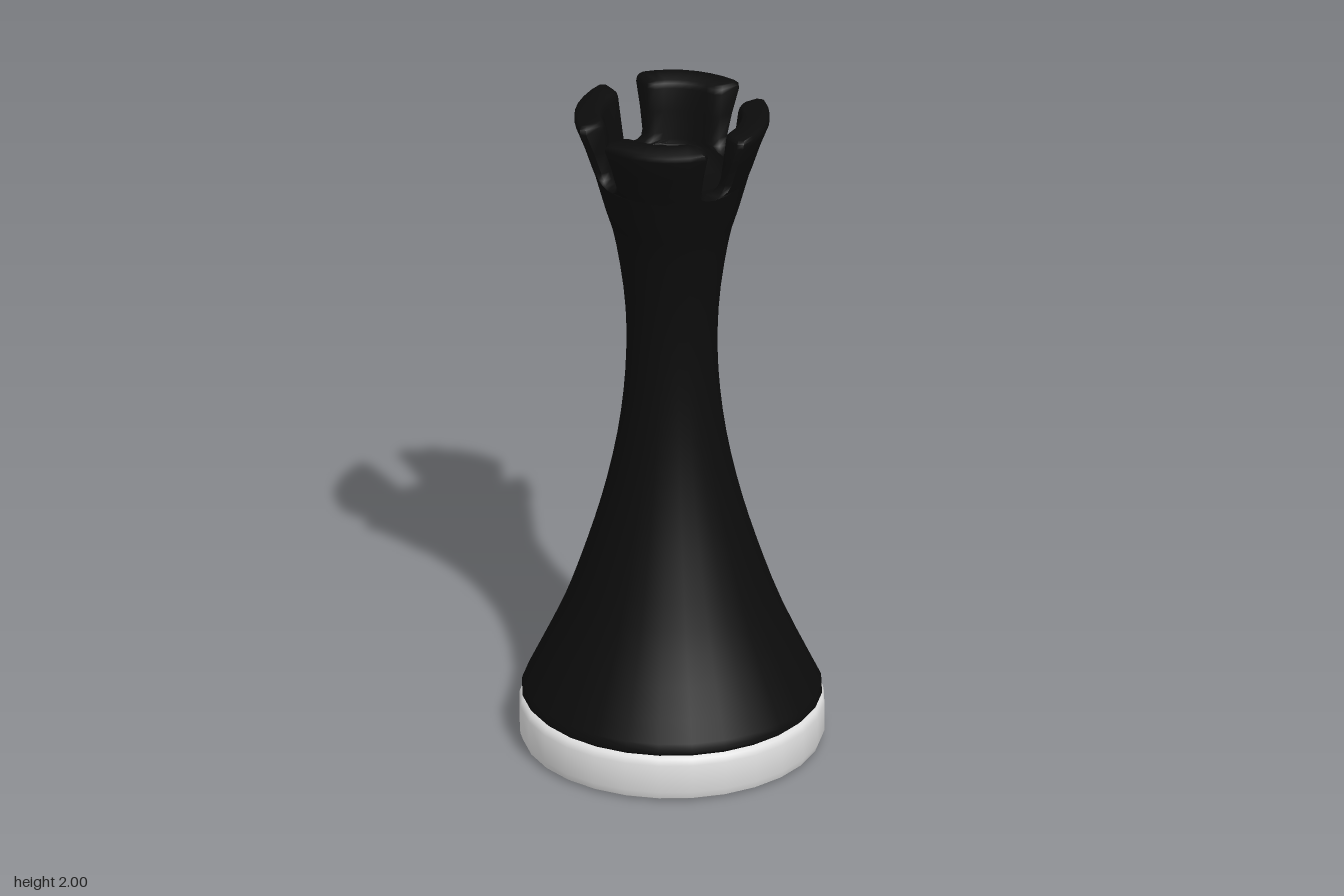
import * as THREE from 'three';
import { toCreasedNormals } from 'three/addons/utils/BufferGeometryUtils.js';

const SIDES = 28;
const ARC = SIDES / 4;
const v2 = ([x, y]) => new THREE.Vector2(x, y);

function lathe(points, material, name) {
  const geo = toCreasedNormals(new THREE.LatheGeometry(points, SIDES), 0.7);
  const mesh = new THREE.Mesh(geo, material);
  mesh.name = name;
  return mesh;
}

// One quarter of the crown wall, lofted from rows of
// [height, outer radius, inner radius, half width of the slot]
function merlonGeometry(rows) {
  const pos = [], index = [];
  const L = 2 * ARC + 6;
  for (const [y, ro, ri, w] of rows) {
    const c = Math.min(0.014, w * 0.35); // rounding of the upright corners
    const put = (r, a) => pos.push(r * Math.sin(a), y, r * Math.cos(a));
    const edge = (r, d) => Math.asin(d / r);
    const arc = (r, from, to) => {
      for (let i = 0; i <= ARC; i++) put(r, from + (to - from) * i / ARC);
    };
    const q = Math.PI / 2, ao = edge(ro, w + c), ai = edge(ri, w + c);
    arc(ro, ao, q - ao);
    put(ro - c, q - edge(ro - c, w));
    put(ri + c, q - edge(ri + c, w));
    arc(ri, q - ai, ai);
    put(ri + c, edge(ri + c, w));
    put(ro - c, edge(ro - c, w));
  }
  const quad = (a, b, c, d) => index.push(a, b, c, a, c, d);
  for (let r = 0; r < rows.length - 1; r++) {
    for (let i = 0; i < L; i++) {
      const a = r * L + i, b = r * L + (i + 1) % L;
      quad(a, b, b + L, a + L);
    }
  }
  // Top cap, joining the outer edge to the inner edge
  const top = (rows.length - 1) * L;
  const at = (k) => top + (k + L) % L;
  const pair = (k) => at(2 * ARC + 3 - k);
  for (let k = -1; k <= ARC; k++) quad(at(k), at(k + 1), pair(k + 1), pair(k));

  const geo = new THREE.BufferGeometry();
  geo.setAttribute('position', new THREE.Float32BufferAttribute(pos, 3));
  geo.setIndex(index);
  return toCreasedNormals(geo, 0.9);
}

export function createModel() {
  const black = new THREE.MeshStandardMaterial({ color: 0x0c0c0c });
  black.name = 'black';
  const white = new THREE.MeshStandardMaterial({ color: 0xe0e0e0 });
  white.name = 'white';
  const model = new THREE.Group();
  model.name = 'rook';

  // Rounded disc under the body
  const base = [[0, 0], [0.418, 0], [0.432, 0.008], [0.44, 0.03],
    [0.44, 0.115], [0.434, 0.133], [0.42, 0.142], [0, 0.142]];
  model.add(lathe(base.map(v2), white, 'base'));

  // Waisted body, with a sunken floor inside the crown
  const flank = new THREE.SplineCurve([[0.425, 0.178], [0.322, 0.4], [0.25, 0.6],
    [0.192, 0.8], [0.152, 1], [0.133, 1.2], [0.136, 1.4], [0.164, 1.6],
    [0.192, 1.7], [0.222, 1.81]].map(v2)).getPoints(26);
  const body = [
    ...[[0, 0.141], [0.424, 0.141], [0.433, 0.15], [0.432, 0.163]].map(v2),
    ...flank,
    ...[[0.175, 1.81], [0.165, 1.785], [0.145, 1.77], [0, 1.77]].map(v2),
  ];
  model.add(lathe(body, black, 'body'));

  // Four flared merlons with round-bottomed slots between them
  const merlon = merlonGeometry([
    [1.81, 0.222, 0.175, 0],
    [1.814, 0.223, 0.176, 0.02],
    [1.825, 0.227, 0.177, 0.034],
    [1.845, 0.234, 0.18, 0.041],
    [1.91, 0.255, 0.188, 0.046],
    [1.978, 0.281, 0.197, 0.05],
    [1.992, 0.281, 0.201, 0.053],
    [2, 0.274, 0.208, 0.06],
  ]);
  const crown = new THREE.Group();
  crown.name = 'crown';
  for (let i = 0; i < 4; i++) {
    const mesh = new THREE.Mesh(merlon, black);
    mesh.name = 'merlon';
    mesh.rotation.y = i * Math.PI / 2;
    crown.add(mesh);
  }
  model.add(crown);
  return model;
}
